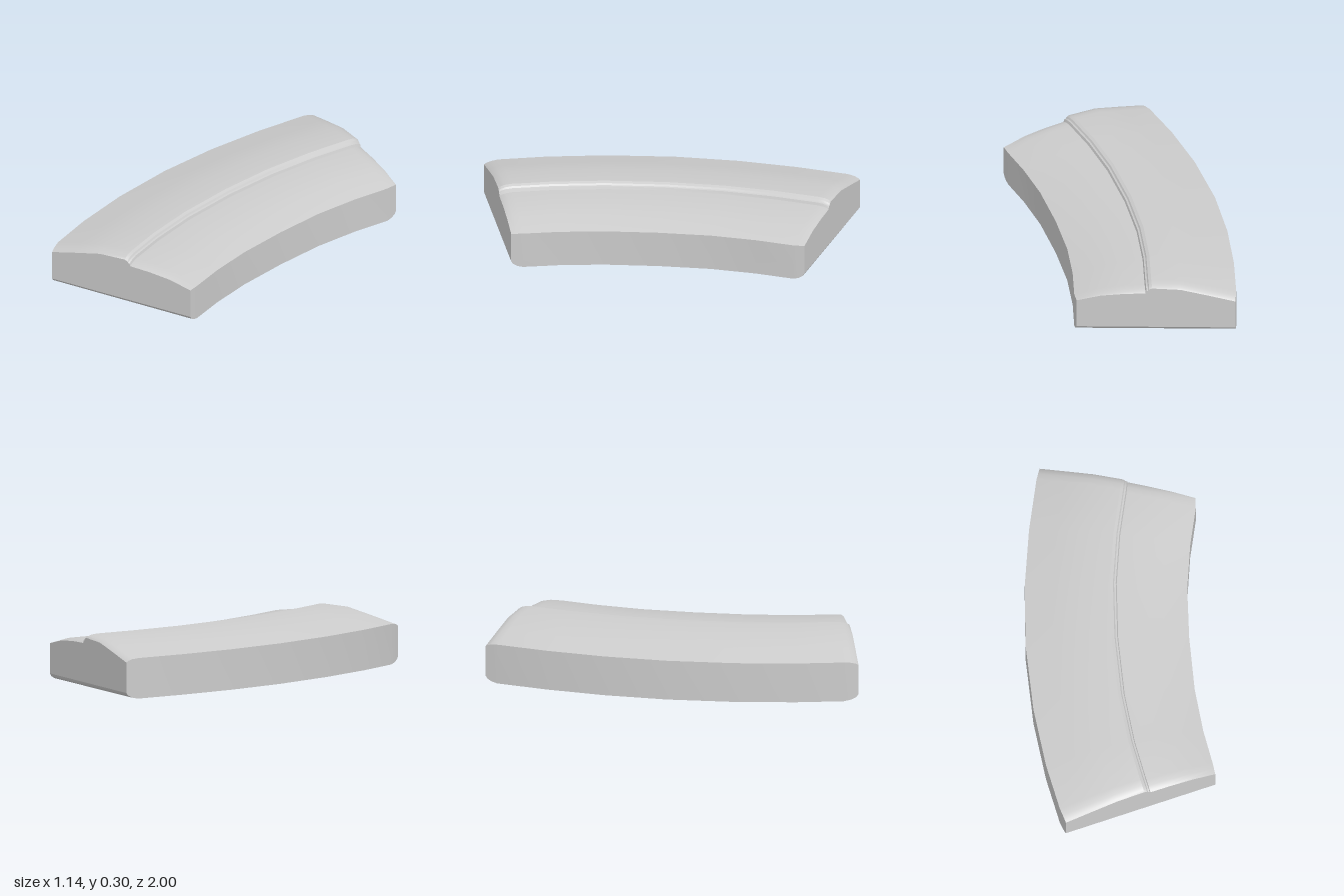
import * as THREE from 'three';
import { toCreasedNormals } from 'three/addons/utils/BufferGeometryUtils.js';

// Plan of the curved body, back to front: outer edge [x, z], inner edge [x, z]
const PLAN = [
  [-0.55, -1.0, 0.30, -0.92],
  [-0.56, -0.93, 0.308, -0.86],
  [-0.57, -0.64, 0.30, -0.65],
  [-0.56, -0.32, 0.31, -0.40],
  [-0.52, 0.02, 0.35, -0.12],
  [-0.44, 0.38, 0.41, 0.17],
  [-0.34, 0.69, 0.48, 0.40],
  [-0.24, 0.93, 0.55, 0.58],
  [-0.20, 1.0, 0.57, 0.64],
];

// Domed top from the inner to the outer edge: [fraction across, height]
const TOP = [
  [1, 0.20], [0.85, 0.24], [0.70, 0.258], [0.575, 0.264],
  [0.566, 0.264], [0.560, 0.278], [0.550, 0.281], [0.543, 0.290], [0.525, 0.297], // stepped lip
  [0.345, 0.291], [0.17, 0.256], [0, 0.22],
];

// Rounding towards each end: [fraction to the end, bottom lift, top drop]
const ROUND = [[0, 0, 0], [0.5, 0.007, 0.2], [0.85, 0.02, 0.6], [1, 0.035, 1]];

function buildStations() {
  const last = PLAN.length - 1;
  const end = (from, to) => ROUND.map(([t, lift, drop]) => ({
    edge: PLAN[from].map((v, i) => THREE.MathUtils.lerp(v, PLAN[to][i], t)), lift, drop,
  }));
  const middle = PLAN.slice(2, last - 1).map((edge) => ({ edge, lift: 0, drop: 0 }));
  return [...end(1, 0).reverse(), ...middle, ...end(last - 1, last)];
}

// Closed cross-section, counter-clockwise seen from the front
function section({ lift, drop }) {
  const top = TOP.map(([u, y]) => [u, y - 0.02 * drop * (1 - u ** 4)]);
  return [[0, lift], [1, lift], ...top];
}

function bodyGeometry() {
  const stations = buildStations();
  const positions = [];
  const index = [];
  const n = TOP.length + 2;
  for (const s of stations) {
    const [ox, oz, ix, iz] = s.edge;
    for (const [u, y] of section(s)) positions.push(ox + (ix - ox) * u, y, oz + (iz - oz) * u);
  }
  // Skin between neighbouring sections
  for (let s = 0; s < stations.length - 1; s++) {
    for (let i = 0; i < n; i++) {
      const j = (i + 1) % n;
      const a = s * n + i, b = s * n + j, c = b + n, d = a + n;
      index.push(a, b, c, a, c, d);
    }
  }
  // Flat end faces
  const outline = section(stations[0]).map(([u, y]) => new THREE.Vector2(u, y));
  const front = (stations.length - 1) * n;
  for (const [a, b, c] of THREE.ShapeUtils.triangulateShape(outline, [])) {
    index.push(c, b, a, front + a, front + b, front + c);
  }
  const g = new THREE.BufferGeometry();
  g.setAttribute('position', new THREE.Float32BufferAttribute(positions, 3));
  g.setIndex(index);
  return toCreasedNormals(g, 0.4);
}

export function createModel() {
  const group = new THREE.Group();
  group.name = 'curvedBlock';
  const body = new THREE.Mesh(bodyGeometry(), new THREE.MeshStandardMaterial({ color: 0xcccccc }));
  body.name = 'steppedCurvedBody';
  group.add(body);
  return group;
}
